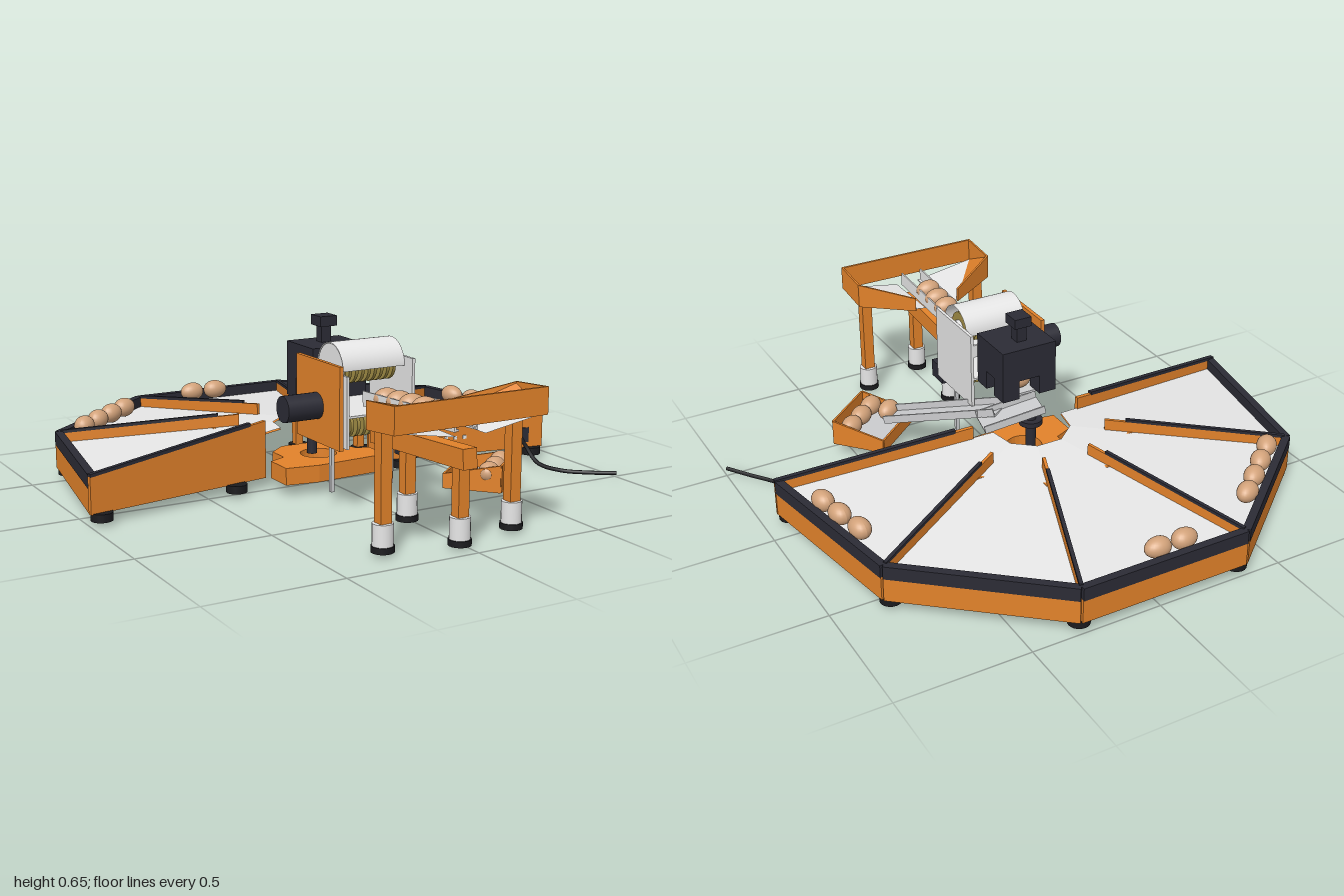
import * as THREE from 'three';

const mat = (name, color, side = THREE.FrontSide) => {
  const m = new THREE.MeshStandardMaterial({ color, side });
  m.name = name;
  return m;
};

export function createModel() {
  const root = new THREE.Group();
  const orange = mat('orange wood', 0xe2822a, THREE.DoubleSide);
  const steel = mat('steel gray', 0xcbccce, THREE.DoubleSide);
  const white = mat('light gray sheet', 0xe6e6e6, THREE.DoubleSide);
  const dark = mat('dark casing', 0x2b2b35);
  const black = mat('black rubber', 0x1b1b1e);
  const shell = mat('egg shell', 0xd2a27a);
  const gold = mat('bristle gold', 0xa08c45);
  const CX = -0.025, CZ = -0.07, RAD = Math.PI / 180;

  const add = (name, geo, m, x = 0, y = 0, z = 0, parent = root) => {
    const mesh = new THREE.Mesh(geo, m);
    mesh.name = name;
    mesh.position.set(x, y, z);
    parent.add(mesh);
    return mesh;
  };
  // box given by its limits
  const box = (name, m, x0, x1, y0, y1, z0, z1) =>
    add(name, new THREE.BoxGeometry(x1 - x0, y1 - y0, z1 - z0), m, (x0 + x1) / 2, (y0 + y1) / 2, (z0 + z1) / 2);
  const cyl = (name, m, r, y0, y1, x, z, seg = 20) =>
    add(name, new THREE.CylinderGeometry(r, r, y1 - y0, seg), m, x, (y0 + y1) / 2, z);
  const axle = (name, m, r, x0, x1, y, z, seg = 28) => {
    const c = add(name, new THREE.CylinderGeometry(r, r, x1 - x0, seg), m, (x0 + x1) / 2, y, z);
    c.rotation.z = Math.PI / 2;
    return c;
  };
  // upright wall between two plan points, each end with its own bottom and top
  const wall = (name, m, [ax, az], [bx, bz], [a0, a1], [b0, b1], t) => {
    const g = new THREE.BoxGeometry(1, 1, 1), p = g.attributes.position;
    const L = Math.hypot(bx - ax, bz - az), nx = -(bz - az) / L * t, nz = (bx - ax) / L * t;
    for (let i = 0; i < p.count; i++) {
      const u = p.getX(i) + 0.5, v = p.getY(i) + 0.5, w = p.getZ(i);
      const lo = a0 + (b0 - a0) * u, hi = a1 + (b1 - a1) * u;
      p.setXYZ(i, ax + (bx - ax) * u + nx * w, lo + (hi - lo) * v, az + (bz - az) * u + nz * w);
    }
    g.computeVertexNormals();
    return add(name, g, m);
  };
  // flat sheets, each a fan of corner points
  const sheets = (name, m, list) => {
    const v = [];
    for (const s of list)
      for (let i = 1; i < s.length - 1; i++) v.push(...s[0], ...s[i], ...s[i + 1]);
    const g = new THREE.BufferGeometry();
    g.setAttribute('position', new THREE.Float32BufferAttribute(v, 3));
    g.computeVertexNormals();
    return add(name, g, m);
  };
  // sloping bar or open channel from a to b
  const channel = (name, m, a, b, w, h, sideH = 0) => {
    const g = new THREE.Group(), A = new THREE.Vector3(...a), B = new THREE.Vector3(...b), L = A.distanceTo(B);
    g.name = name;
    g.position.copy(A).lerp(B, 0.5);
    g.lookAt(B);
    add(name + 'Floor', new THREE.BoxGeometry(w, h, L), m, 0, 0, 0, g);
    if (sideH) for (const s of [-1, 1])
      add(name + 'Side', new THREE.BoxGeometry(0.006, sideH, L), m, s * w / 2, sideH / 2, 0, g);
    root.add(g);
  };
  const eggGeo = new THREE.SphereGeometry(0.038, 24, 16);
  {
    const p = eggGeo.attributes.position;
    for (let i = 0; i < p.count; i++) {
      const x = p.getX(i), k = 1 - x * 2.2;
      p.setXYZ(i, x * 1.34, p.getY(i) * k, p.getZ(i) * k);
    }
    eggGeo.computeVertexNormals();
  }
  const egg = (x, y, z, dx = 1, dz = 0) => { add('egg', eggGeo, shell, x, y, z).rotation.y = Math.atan2(-dz, dx); };

  // collecting table: five sectors of a nine-sided ring, open underneath
  const polar = (r, deg) => [CX + r * Math.sin(deg * RAD), CZ - r * Math.cos(deg * RAD)];
  const ringSheets = (name, m, r0, y0, r1, y1) => {
    const list = [];
    for (let d = -100; d < 100; d += 40) {
      const q = (r, y, a) => { const [x, z] = polar(r, a); return [x, y, z]; };
      list.push([q(r0, y0, d), q(r0, y0, d + 40), q(r1, y1, d + 40), q(r1, y1, d)]);
    }
    sheets(name, m, list);
  };
  ringSheets('tableTop', white, 0.15, 0.222, 0.975, 0.14);
  ringSheets('hubLining', orange, 0.15, 0.215, 0.32, 0.198);
  for (let d = -100; d < 100; d += 40) {
    wall('rimWall', orange, polar(0.975, d), polar(0.975, d + 40), [0.042, 0.135], [0.042, 0.135], 0.024);
    wall('rimPadding', dark, polar(0.973, d), polar(0.973, d + 40), [0.132, 0.183], [0.132, 0.183], 0.03);
  }
  for (const d of [-60, -20, 20, 60]) {
    wall('divider', orange, polar(0.28, d), polar(0.965, d), [0.2, 0.252], [0.13, 0.178], 0.012);
    wall('dividerPadding', dark, polar(0.36, d), polar(0.965, d), [0.243, 0.254], [0.176, 0.188], 0.014);
    const [x, z] = polar(0.37, d);
    box('tablePost', orange, x - 0.016, x + 0.016, 0.04, 0.2, z - 0.016, z + 0.016);
  }
  for (const d of [-100, 100]) {
    wall('frontWall', orange, polar(0.23, d), polar(0.987, d), [0.042, 0.262], [0.042, 0.178], 0.016);
    wall('frontWallPadding', dark, polar(0.3, d), polar(0.987, d), [0.25, 0.264], [0.176, 0.188], 0.018);
  }
  for (const d of [-100, -60, -20, 20, 60, 100])
    for (const r of [0.37, 0.94]) cyl('foot', black, 0.04, 0.015, 0.045, ...polar(r, d * (r < 0.5 ? 1.02 : 1)));

  // central deck, pedestal and turning chute
  const deckPts = [[-0.1, -0.18], [0.05, -0.18], [0.11, -0.12], [0.14, -0.02], [0.19, 0], [0.19, 0.12], [-0.11, 0.14], [-0.24, 0.12], [-0.24, 0], [-0.17, -0.03], [-0.17, -0.12]];
  const deck = new THREE.Shape(deckPts.map(([x, z]) => new THREE.Vector2(x, -z)));
  deck.holes.push(new THREE.Path().absarc(CX, 0.02, 0.07, 0, Math.PI * 2, true));
  add('deck', new THREE.ExtrudeGeometry(deck, { depth: 0.065, bevelEnabled: false }), orange, 0, 0.045, 0).rotation.x = -Math.PI / 2;
  cyl('pedestal', dark, 0.02, 0.1, 0.27, CX, CZ);
  cyl('pedestalDisc', dark, 0.045, 0.235, 0.255, CX, CZ);
  channel('turningChute', steel, [-0.07, 0.3, -0.07], [0.16, 0.25, -0.02], 0.12, 0.006, 0.03);

  // discharge chute and tray with a low back edge
  channel('dischargeChute', steel, [0.06, 0.275, 0.01], [0.34, 0.125, 0.4], 0.105, 0.006, 0.03);
  const bl = [0.235, 0.446], br = [0.432, 0.283], fr = [0.572, 0.441], fl = [0.375, 0.606];
  wall('trayBack', orange, bl, br, [0.05, 0.105], [0.05, 0.105], 0.008);
  wall('trayFront', orange, fl, fr, [0.05, 0.152], [0.05, 0.152], 0.008);
  wall('traySide', orange, bl, fl, [0.05, 0.105], [0.05, 0.152], 0.008);
  wall('traySide', orange, br, fr, [0.05, 0.105], [0.05, 0.152], 0.008);
  sheets('trayFloor', steel, [[bl, fl, fr, br].map(([x, z]) => [x, 0.07, z])]);

  // weighing head with openings for the eggs
  box('scaleHead', dark, -0.138, 0.088, 0.42, 0.55, -0.06, 0.14);
  for (const x of [-0.138, 0.018]) for (const z of [-0.06, 0.07])
    box('scaleHeadPost', dark, x, x + 0.07, 0.345, 0.422, z, z + 0.07);
  box('knobStem', dark, -0.045, -0.005, 0.55, 0.615, 0, 0.04);
  box('knob', dark, -0.06, 0.01, 0.612, 0.65, -0.013, 0.06);
  box('scalePan', steel, -0.08, 0.03, 0.333, 0.342, -0.02, 0.09);
  for (const x of [-0.15, 0.1]) box('headLeg', steel, x, x + 0.014, 0.05, 0.3, 0.28, 0.295);

  // washing unit: side plates, brushes, cover and motor
  box('rightPlate', orange, -0.2, -0.185, 0.24, 0.54, 0.13, 0.44);
  box('leftPlate', white, 0.104, 0.116, 0.24, 0.54, 0.14, 0.43);
  box('innerPlate', white, -0.165, -0.155, 0.24, 0.5, 0.14, 0.43);
  box('washFloor', white, -0.16, 0.11, 0.35, 0.358, 0.14, 0.43);
  box('washBackBar', white, -0.16, 0.11, 0.45, 0.5, 0.14, 0.15);
  const cover = add('brushCover', new THREE.CylinderGeometry(0.092, 0.092, 0.255, 32, 1, true, 0, Math.PI), white, -0.025, 0.508, 0.29);
  cover.rotation.z = Math.PI / 2;
  for (let i = 0; i < 9; i++) axle('brushDisc', gold, 0.062, -0.135 + i * 0.026, -0.123 + i * 0.026, 0.508, 0.29, 20);
  axle('brushCore', white, 0.03, -0.15, 0.1, 0.508, 0.29);
  axle('coverEnd', white, 0.088, -0.15, -0.144, 0.508, 0.29);
  for (let i = 0; i < 6; i++) axle('lowerBrushDisc', gold, 0.05, -0.1 + i * 0.027, -0.088 + i * 0.027, 0.3, 0.3, 20);
  axle('lowerBrushCore', dark, 0.022, -0.16, 0.11, 0.3, 0.3);
  axle('motor', dark, 0.048, -0.338, -0.2, 0.375, 0.28);
  box('pump', dark, 0.04, 0.102, 0.2, 0.27, 0.42, 0.51);

  // feed beam and egg rails
  channel('feedBeam', orange, [CX, 0.315, 0.975], [CX, 0.283, 0.4], 0.055, 0.07);
  for (const s of [-1, 1]) {
    channel('feedRail', white, [CX + s * 0.043, 0.43, 0.95], [CX + s * 0.043, 0.405, 0.38], 0.006, 0.055);
    channel('feedLip', white, [CX + s * 0.036, 0.408, 0.95], [CX + s * 0.036, 0.382, 0.38], 0.014, 0.006);
  }

  // hopper
  wall('hopperFront', orange, [CX - 0.3, 0.984], [CX + 0.3, 0.984], [0.43, 0.525], [0.43, 0.525], 0.01);
  for (const s of [-1, 1]) {
    const X = d => CX + s * d;
    wall('hopperSide', orange, [X(0.296), 0.985], [X(0.296), 0.82], [0.43, 0.525], [0.415, 0.512], 0.008);
    wall('hopperTaper', orange, [X(0.296), 0.82], [X(0.095), 0.71], [0.415, 0.512], [0.395, 0.45], 0.008);
    sheets('hopperSlope', orange, [[[X(0.295), 0.437, 0.98], [X(0.295), 0.51, 0.82], [X(0.095), 0.405, 0.71]]]);
    sheets('hopperFloor', white, [[[X(0.055), 0.395, 0.98], [X(0.295), 0.435, 0.98], [X(0.095), 0.403, 0.71], [X(0.05), 0.397, 0.71]]]);
  }

  // legs with sleeves and rubber pads
  for (const [x, z, top] of [[CX - 0.258, 0.86, 0.43], [CX + 0.258, 0.86, 0.43], [CX, 0.925, 0.29], [CX, 0.605, 0.265]]) {
    box('leg', orange, x - 0.021, x + 0.021, 0.1, top, z - 0.021, z + 0.021);
    cyl('legSleeve', white, 0.036, 0.03, 0.11, x, z);
    cyl('legPad', black, 0.04, 0.012, 0.034, x, z);
  }

  // power socket, buttons and cable on the front wall
  const onWall = (name, r, y, w, h, m, t = 0.024) => {
    const [x, z] = polar(r, 100);
    add(name, new THREE.BoxGeometry(w, h, t), m, x, y, z).rotation.y = -10 * RAD;
  };
  onWall('socket', 0.885, 0.096, 0.08, 0.06, dark);
  onWall('socketSwitch', 0.885, 0.105, 0.02, 0.016, gold, 0.028);
  for (let i = 0; i < 3; i++) onWall('button', 0.56 + i * 0.04, 0.11, 0.014, 0.014, white);
  const path = [[0.845, 0.09, 0.1], [0.82, 0.07, 0.17], [0.82, 0.02, 0.25], [0.855, 0.009, 0.35], [0.925, 0.012, 0.44], [0.992, 0.02, 0.52]];
  add('cable', new THREE.TubeGeometry(new THREE.CatmullRomCurve3(path.map(p => new THREE.Vector3(...p))), 40, 0.008, 8), black);

  // eggs
  for (let i = 0; i < 4; i++) egg(-0.752 + i * 0.085, 0.188, -0.583 - i * 0.073, 0.6 + i * 0.1, -0.7 + i * 0.06);
  egg(-0.135, 0.19, -0.93, -1, 0.1);
  egg(-0.025, 0.19, -0.93);
  for (const [x, z] of [[0.803, -0.33], [0.828, -0.215], [0.846, -0.11]]) egg(x, 0.19, z, 0.15, 1);
  for (let i = 0; i < 5; i++) egg(CX, 0.418 + i * 0.005, 0.47 + i * 0.08);
  egg(CX, 0.38, 0.03);
  for (const [x, z] of [[0.32, 0.475], [0.37, 0.54], [0.435, 0.487], [0.5, 0.432]]) egg(x, 0.115, z, 0.78, -0.55);
  return root;
}
